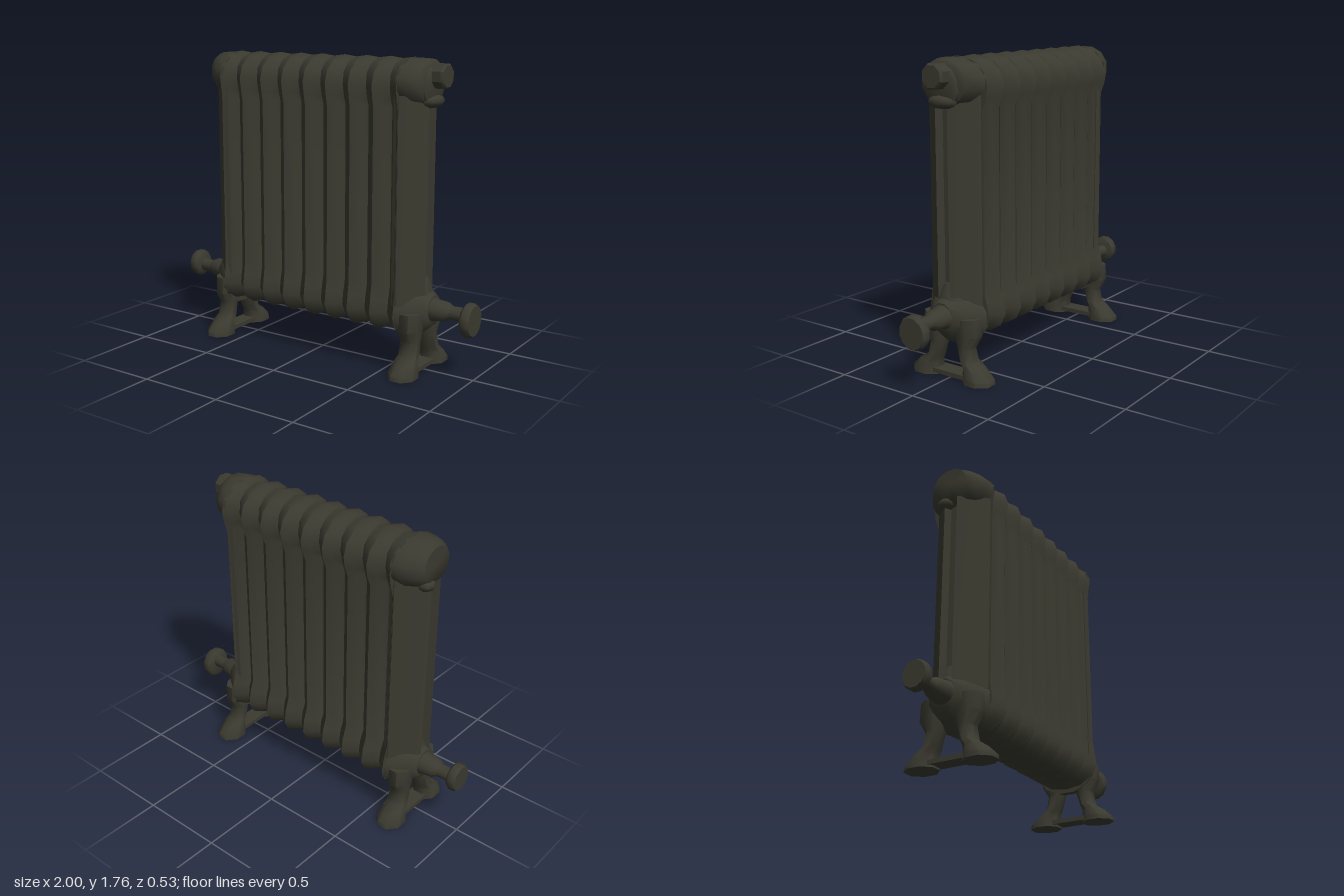
import * as THREE from 'three';
import { toCreasedNormals } from 'three/addons/utils/BufferGeometryUtils.js';

// Skin a list of closed rings (counter-clockwise seen from the last ring) and cap both ends
function loft(rings, crease = 0.9) {
  const n = rings[0].length, pos = [], idx = [];
  rings.forEach(r => r.forEach(p => pos.push(...p)));
  for (let i = 0; i < rings.length - 1; i++) {
    for (let j = 0; j < n; j++) {
      const a = i * n + j, b = i * n + (j + 1) % n;
      idx.push(a, b, b + n, a, b + n, a + n);
    }
  }
  [0, rings.length - 1].forEach((k, end) => {
    const c = pos.length / 3;
    pos.push(...[0, 1, 2].map(m => rings[k].reduce((s, p) => s + p[m], 0) / n));
    for (let j = 0; j < n; j++) {
      const a = k * n + j, b = k * n + (j + 1) % n;
      idx.push(c, end ? a : b, end ? b : a);
    }
  });
  const g = new THREE.BufferGeometry();
  g.setAttribute('position', new THREE.Float32BufferAttribute(pos, 3));
  g.setIndex(idx);
  return toCreasedNormals(g, crease);
}

const angles = n => Array.from({ length: n }, (_, i) => ((i + 0.5) / n) * Math.PI * 2);
// Elliptical rings across the x axis and across the y axis
const ringX = (x, y, ry, rz, n = 12) => angles(n).map(a => [x, y + ry * Math.cos(a), rz * Math.sin(a)]);
const ringY = (y, z, rx, rz, n = 8) => angles(n).map(a => [rx * Math.sin(a), y, z + rz * Math.cos(a)]);

// Half outline of a section: [y at ridge, z at ridge, y at groove, z at groove, is column]
const OUTLINE = [
  [0.21, 0, 0.24, 0, 0], [0.225, 0.10, 0.25, 0.07, 0], [0.27, 0.175, 0.285, 0.11, 0],
  [0.34, 0.207, 0.34, 0.135, 0], [0.42, 0.195, 0.41, 0.125, 0], [0.50, 0.176, 0.48, 0.1, 1],
  [1.48, 0.176, 1.49, 0.1, 1], [1.54, 0.195, 1.53, 0.125, 0], [1.61, 0.205, 1.60, 0.14, 0],
  [1.68, 0.18, 1.67, 0.13, 0], [1.735, 0.11, 1.72, 0.085, 0], [1.757, 0, 1.747, 0, 0],
];
// Columns sit slightly forward of the headers
const FORWARD = 0.008;

// Section outline at x, with t = 0 in a groove and 1 on a ridge
function sectionRing(x, t) {
  const half = OUTLINE.map(([yr, zr, yg, zg, column]) => {
    const k = column ? Math.sin(t * Math.PI / 2) : t;
    return [yg + (yr - yg) * k, zg + (zr - zg) * k, column * FORWARD];
  });
  const back = half.map(([y, z, f]) => [x, y, f - z]);
  const front = half.slice(1, -1).reverse().map(([y, z, f]) => [x, y, f + z]);
  return [...back, ...front];
}

// Plan of the end column: chamfered corners and a shallow recess in the middle
const END_PLAN = [[0.57, 0.165], [0.605, 0.175], [0.64, 0.143], [0.705, 0.06], [0.718, 0.04], [0.68, 0.02]];

export function createModel() {
  const group = new THREE.Group();
  const iron = new THREE.MeshStandardMaterial({ color: 0x3a3a30 });
  iron.name = 'dark cast iron';
  const add = (name, geometry, x = 0, y = 0, z = 0) => {
    const m = new THREE.Mesh(geometry, iron);
    m.name = name;
    m.position.set(x, y, z);
    group.add(m);
    return m;
  };

  // Ribbed body: ridges every 0.15, starting and ending on a ridge
  const pitch = 0.15, gaps = 8, rings = [];
  for (let i = 0; i < gaps; i++) {
    for (const u of [0, 0.25, 0.42, 0.5, 0.58, 0.75]) {
      rings.push(sectionRing((i - gaps / 2 + u) * pitch, Math.abs(1 - 2 * u)));
    }
  }
  rings.push(sectionRing(gaps * pitch / 2, 1));
  add('ribbedBody', loft(rings, 0.8));

  // Parts found at both ends
  for (const s of [-1, 1]) {
    const reach = s < 0 ? 0.025 : 0;
    const turn = m => { if (s < 0) m.rotation.y = Math.PI; return m; };

    // Chamfered, recessed end column
    const plan = [...END_PLAN, ...END_PLAN.slice().reverse().map(([x, z]) => [x, -z])];
    const planRing = y => plan.map(([x, z]) => [x + (x > 0.65 ? reach : 0), y, z]);
    turn(add('endColumn', loft([planRing(0.4), planRing(1.56)], 0.7), 0, 0, FORWARD));

    // Upper and lower header ends
    turn(add('upperHeaderEnd', loft([
      ringX(0.59, 1.622, 0.132, 0.2), ringX(0.65, 1.622, 0.132, 0.185),
      ringX(0.705, 1.625, 0.125, 0.15), ringX(0.722 + reach, 1.635, 0.1, 0.11),
    ])));
    turn(add('lowerHeaderEnd', loft([
      ringX(0.595, 0.345, 0.16, 0.2), ringX(0.65, 0.345, 0.155, 0.165),
      ringX(0.70, 0.355, 0.125, 0.125), ringX(0.75, 0.36, 0.085, 0.08),
    ])));
    // Pointed boss rising above the pipe
    add('boss', loft([
      ringY(0.36, 0, 0.085, 0.125), ringY(0.44, 0, 0.075, 0.105), ringY(0.54, 0, 0.045, 0.035),
    ]), s * 0.66);

    // Lug below the upper header
    const lug = add('lug', new THREE.SphereGeometry(0.045, 8, 6), s * 0.715, 1.525, s < 0 ? -0.04 : 0);
    lug.scale.set(1.1, 0.85, s < 0 ? 1.2 : 2.1);

    // Pipe, nut and hand wheel
    const py = 0.365, wy = s < 0 ? 0.375 : 0.342, wr = s < 0 ? 0.083 : 0.097;
    turn(add('valve', loft([
      ringX(0.72, py, 0.08, 0.08), ringX(0.77, py, 0.06, 0.07), ringX(0.83, py, 0.055, 0.06),
      ringX(0.86, py, 0.038, 0.04), ringX(0.935, py, 0.04, 0.04),
      ringX(0.942, wy, wr * 0.85, wr * 0.85), ringX(0.955, wy, wr, wr * 0.95),
      ringX(0.985, wy, wr, wr * 0.95), ringX(1.0, wy, wr * 0.9, wr * 0.85),
    ], 0.7)));

    // Splayed feet joined by a thin bar
    for (const zs of [-1, 1]) {
      add('foot', loft([
        ringY(0, zs * 0.175, 0.085, 0.098), ringY(0.025, zs * 0.175, 0.084, 0.094),
        ringY(0.075, zs * 0.15, 0.07, 0.066), ringY(0.11, zs * 0.115, 0.062, 0.046),
        ringY(0.19, zs * 0.095, 0.058, 0.052), ringY(0.26, zs * 0.105, 0.068, 0.085),
        ringY(0.36, zs * 0.095, 0.07, 0.09),
      ], 0.9), s * 0.657);
    }
    add('footBar', new THREE.BoxGeometry(0.1, 0.025, 0.26), s * 0.657, 0.025, 0);
  }

  // Blanking plug on one end of the upper header
  add('plugCollar', loft([
    ringX(0.66, 1.605, 0.125, 0.12), ringX(0.72, 1.605, 0.12, 0.112), ringX(0.738, 1.63, 0.085, 0.085),
  ]));
  add('plug', loft([
    ringX(0.72, 1.66, 0.07, 0.072, 8), ringX(0.79, 1.66, 0.072, 0.074, 8), ringX(0.803, 1.66, 0.062, 0.062, 8),
  ], 0.6));
  return group;
}
